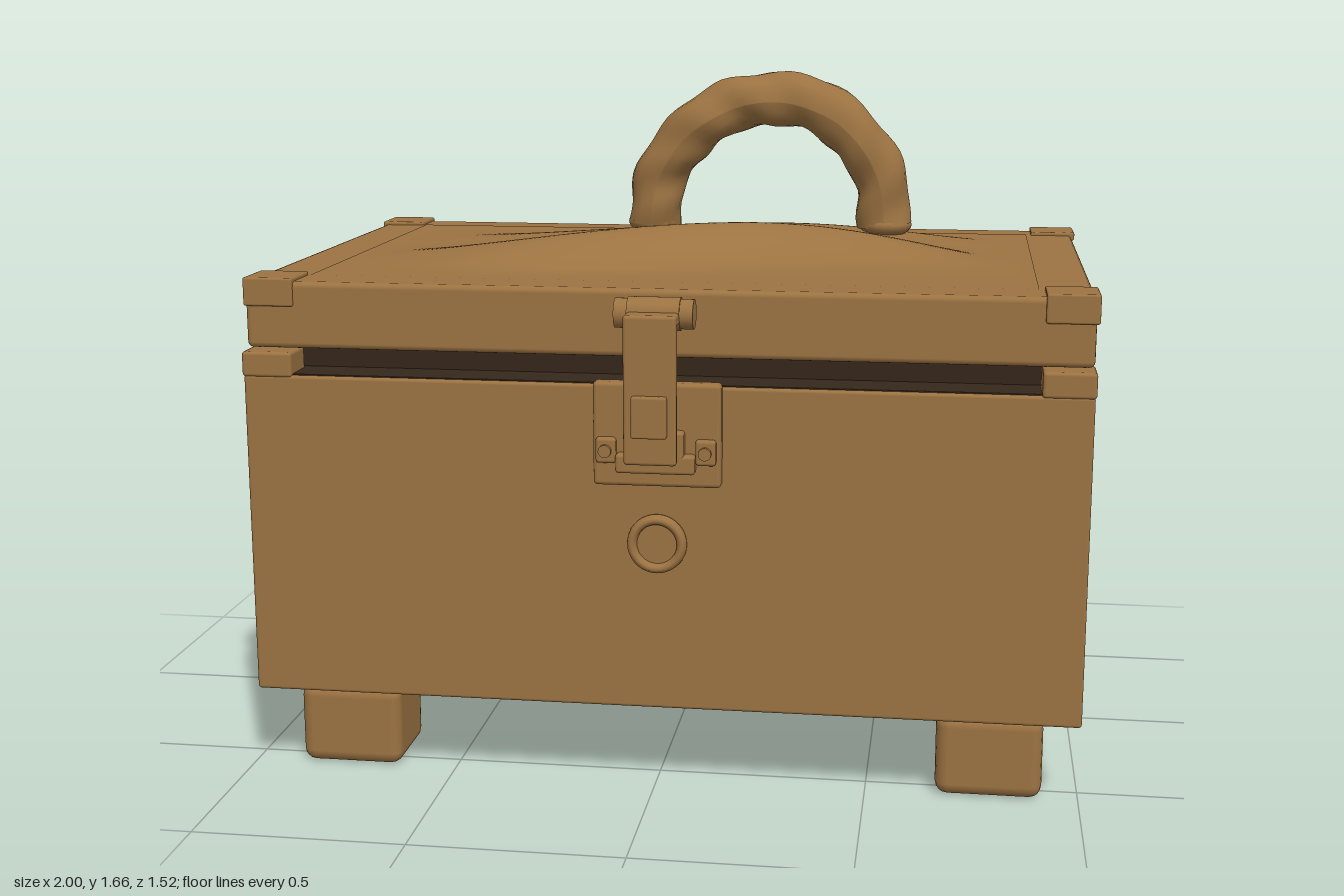
import * as THREE from 'three';
import { RoundedBoxGeometry } from 'three/addons/geometries/RoundedBoxGeometry.js';

export function createModel() {
  const model = new THREE.Group();
  model.name = 'chest';
  const wood = new THREE.MeshStandardMaterial({ color: 0x9c7342 });
  wood.name = 'brown wood';
  const dark = new THREE.MeshStandardMaterial({ color: 0x35271b });
  dark.name = 'dark lining';

  function add(name, geometry, material = wood) {
    const mesh = new THREE.Mesh(geometry, material);
    mesh.name = name;
    model.add(mesh);
    return mesh;
  }
  // Rounded box given by its extents
  function box(name, x0, x1, y0, y1, z0, z1, r = 0.008, material = wood) {
    const g = new RoundedBoxGeometry(x1 - x0, y1 - y0, z1 - z0, 2, r);
    g.translate((x0 + x1) / 2, (y0 + y1) / 2, (z0 + z1) / 2);
    return add(name, g, material);
  }
  // Cylinder lying along x
  function rod(name, x0, x1, y, z, r) {
    const g = new THREE.CylinderGeometry(r, r, x1 - x0, 24);
    g.rotateZ(Math.PI / 2);
    g.translate((x0 + x1) / 2, y, z);
    return add(name, g);
  }

  // Body
  box('frontPanel', -0.967, 0.997, 0.21, 0.985, 0.53, 0.63);
  box('backPanel', -0.967, 0.997, 0.21, 0.985, -0.675, -0.58);
  box('leftPanel', 0.9, 0.99, 0.21, 0.985, -0.59, 0.54);
  box('rightPanel', -0.96, -0.87, 0.21, 0.985, -0.59, 0.54);
  box('base', -0.885, 0.915, 0.18, 0.23, -0.61, 0.535);

  // Feet
  for (const x of [-0.885, 0.665])
    for (const z of [-0.61, 0.35]) box('foot', x, x + 0.25, 0, 0.2, z, z + 0.215, 0.03);

  // Lining seen in the gap below the lid
  box('rimLining', -0.955, 0.985, 0.982, 0.988, -0.665, 0.62, 0.002, dark);
  box('innerLining', -0.86, 0.89, 0.9, 1.035, -0.563, 0.517, 0.004, dark);

  // Corner blocks on the body and corner plates on the lid
  for (const x of [-0.97, 0.88]) {
    for (const z of [-0.68, 0.53]) box('bodyCorner', x, x + 0.12, 0.98, 1.04, z, z + 0.102);
    for (const z of [-0.658, 0.485]) box('lidCornerTop', x + 0.003, x + 0.122, 1.19, 1.212, z, z + 0.127, 0.005);
    for (const z of [-0.658, 0.597]) box('lidCornerFlap', x + 0.003, x + 0.122, 1.145, 1.212, z, z + 0.015, 0.005);
  }

  // Lid
  box('lid', -0.965, 0.995, 1.045, 1.203, -0.648, 0.605, 0.014);

  // Carved waves on the lid
  const waves = new THREE.PlaneGeometry(1.71, 1.03, 80, 60);
  waves.rotateX(-Math.PI / 2);
  waves.translate(0.015, 0, -0.02);
  const wp = waves.attributes.position;
  const bump = (d, w) => Math.exp(-((d / w) ** 2));
  for (let i = 0; i < wp.count; i++) {
    const x = wp.getX(i), z = wp.getZ(i);
    const u = (x - 0.1) / (x < 0.1 ? 0.93 : 0.77);
    const fadeX = Math.max(0, 1 - u * u) ** 1.5;
    const fadeZ = THREE.MathUtils.smoothstep(0.52 - Math.abs(z + 0.02), 0, 0.2);
    const crest = 0.11 - 0.09 * Math.sin(3.9 * x);
    const h = 0.09 * bump(z - crest, 0.15) + 0.05 * bump(z - crest + 0.34, 0.17);
    wp.setY(i, 1.2045 + fadeX * fadeZ * h);
  }
  waves.computeVertexNormals();
  add('lidCarving', waves);

  // Gnarled handle: a tube swollen by a few waves
  const path = new THREE.CatmullRomCurve3([
    [-0.135, 1.255, -0.3], [-0.115, 1.37, -0.29], [-0.04, 1.49, -0.27], [0.08, 1.565, -0.265],
    [0.2, 1.59, -0.258], [0.32, 1.56, -0.262], [0.42, 1.48, -0.275], [0.475, 1.37, -0.29], [0.49, 1.255, -0.295],
  ].map((p) => new THREE.Vector3(...p)));
  const N = 48, M = 16;
  const tube = new THREE.TubeGeometry(path, N, 0.07, M, false);
  const tp = tube.attributes.position;
  for (let i = 0; i <= N; i++) {
    const c = path.getPointAt(i / N);
    for (let j = 0; j <= M; j++) {
      const k = i * (M + 1) + j, a = (j / M) * Math.PI * 2;
      const s = 1 + 0.06 * Math.sin(i * 0.9 + 2 * a) + 0.05 * Math.sin(i * 0.53 - a);
      const v = new THREE.Vector3().fromBufferAttribute(tp, k).sub(c).multiplyScalar(s).add(c);
      tp.setXYZ(k, v.x, v.y, v.z);
    }
  }
  tube.computeVertexNormals();
  add('handle', tube);
  for (const t of [0, 1]) {
    const end = add('handleEnd', new THREE.SphereGeometry(0.07, 20, 14));
    end.position.copy(path.getPoint(t));
    end.scale.y = 0.5;
  }

  // Front latch
  box('latchPlate', -0.13, 0.165, 0.755, 0.997, 0.62, 0.66, 0.01);
  box('latchCatch', -0.075, 0.108, 0.79, 0.835, 0.65, 0.685);
  box('latchCatchUpper', -0.05, 0.083, 0.79, 0.89, 0.65, 0.685);
  for (const x of [-0.122, 0.108]) {
    box('latchLug', x, x + 0.047, 0.81, 0.87, 0.65, 0.675);
    const bolt = new THREE.CylinderGeometry(0.015, 0.015, 0.02, 16);
    bolt.rotateX(Math.PI / 2);
    bolt.translate(x + 0.023, 0.84, 0.675);
    add('latchBolt', bolt);
  }
  box('hasp', -0.045, 0.075, 0.825, 1.165, 0.72, 0.748);
  box('haspArm', -0.045, 0.075, 1.137, 1.165, 0.65, 0.748);
  box('haspButton', -0.025, 0.055, 0.89, 0.985, 0.74, 0.765, 0.005);
  rod('haspPin', -0.075, 0.105, 1.157, 0.66, 0.034);
  rod('haspKnuckle', -0.045, 0.075, 1.157, 0.66, 0.038);
  box('haspMount', -0.06, 0.09, 1.142, 1.17, 0.6, 0.65);

  // Round lock boss
  const boss = new THREE.CylinderGeometry(0.052, 0.052, 0.02, 32);
  boss.rotateX(Math.PI / 2);
  boss.translate(0.015, 0.615, 0.633);
  add('lockFace', boss);
  const bossRing = add('lockRing', new THREE.TorusGeometry(0.058, 0.012, 12, 36));
  bossRing.position.set(0.015, 0.615, 0.64);
  bossRing.scale.z = 1.5;

  // Ring hanging on the right side
  const ring = add('sideRing', new THREE.TorusGeometry(0.061, 0.01, 10, 32));
  ring.rotation.y = Math.PI / 2;
  ring.position.set(-0.99, 0.64, -0.027);
  rod('sideRingMount', -0.985, -0.95, 0.715, -0.027, 0.04);
  rod('sideRingPin', -0.997, -0.95, 0.7, -0.027, 0.014);

  // Back hinges
  for (const x of [-0.58, 0.615]) {
    rod('hingeBarrel', x - 0.11, x + 0.11, 1.035, -0.722, 0.038);
    box('hingeUpperLeaf', x - 0.07, x + 0.07, 1.045, 1.13, -0.73, -0.63);
    box('hingeLowerLeaf', x - 0.07, x + 0.07, 0.805, 1.035, -0.705, -0.665);
  }
  return model;
}
